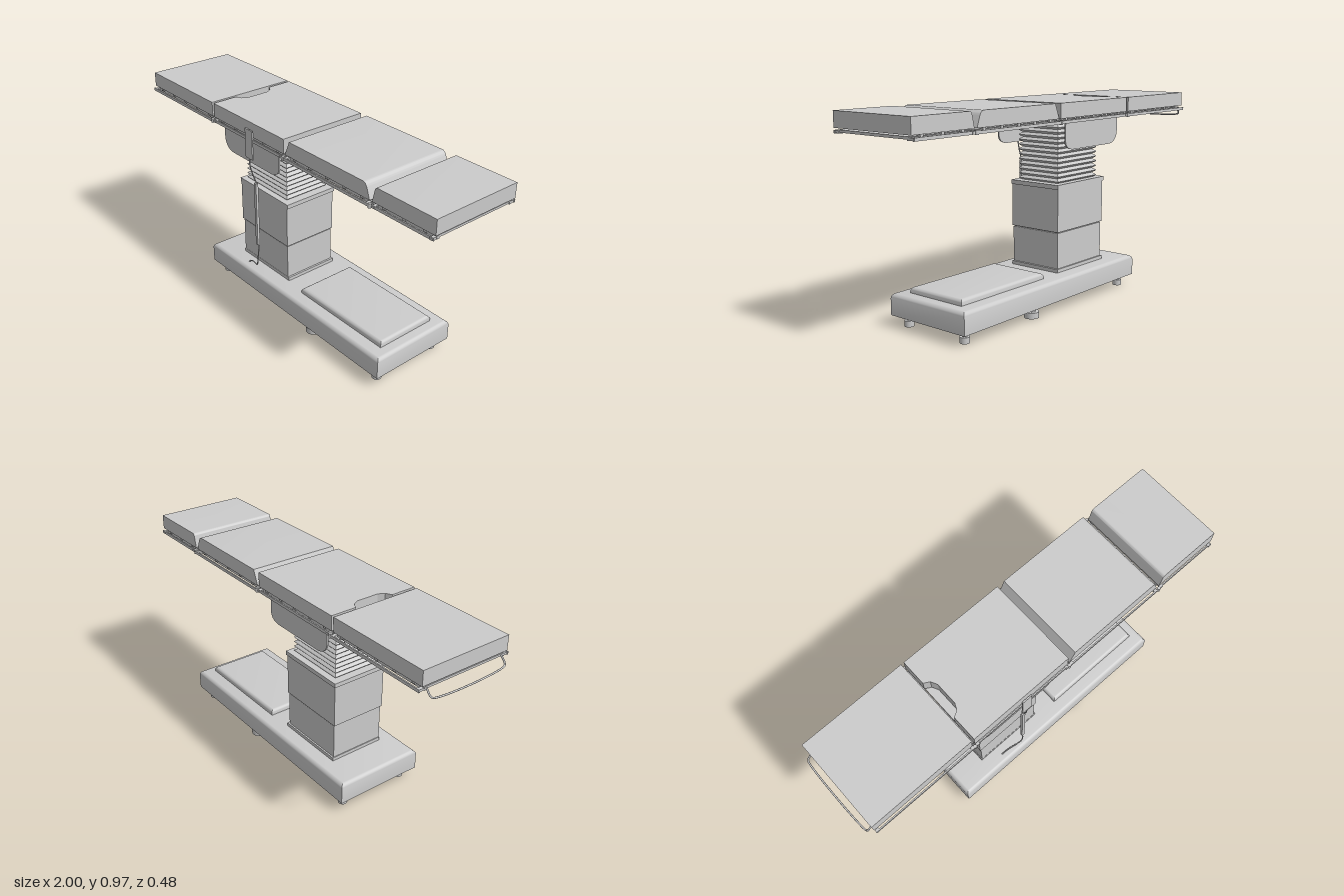
import * as THREE from 'three';
import { toCreasedNormals } from 'three/addons/utils/BufferGeometryUtils.js';

const grey = new THREE.MeshStandardMaterial({ color: 0xcccccc, side: THREE.DoubleSide });

export function createModel() {
  const model = new THREE.Group();

  const add = (name, geo, x = 0, y = 0, z = 0) => {
    const mesh = new THREE.Mesh(geo, grey);
    mesh.name = name;
    mesh.position.set(x, y, z);
    model.add(mesh);
    return mesh;
  };
  // Box given by its limits
  const box = (name, x0, x1, y0, y1, z0, z1) =>
    add(name, new THREE.BoxGeometry(x1 - x0, y1 - y0, z1 - z0), (x0 + x1) / 2, (y0 + y1) / 2, (z0 + z1) / 2);
  const rod = (name, r, length, x, y, z, axis = 'y', sides = 20) => {
    const geo = new THREE.CylinderGeometry(r, r, length, sides);
    if (axis === 'z') geo.rotateX(Math.PI / 2);
    return add(name, geo, x, y, z);
  };
  const tube = (name, points, r, steps = 40) => add(name, new THREE.TubeGeometry(
    new THREE.CatmullRomCurve3(points.map(p => new THREE.Vector3(...p)), false, 'centripetal'), steps, r, 8));

  // Closed stack of rectangles, each ring [y, halfX, halfZ]
  const loft = (rings) => {
    const pos = [], idx = [];
    rings.forEach(([y, a, b]) => pos.push(-a, y, b, a, y, b, a, y, -b, -a, y, -b));
    for (let i = 0; i < rings.length - 1; i++) {
      for (let j = 0; j < 4; j++) {
        const p = i * 4 + j, q = i * 4 + (j + 1) % 4;
        idx.push(p, q, q + 4, p, q + 4, p + 4);
      }
    }
    const t = (rings.length - 1) * 4;
    idx.push(0, 2, 1, 0, 3, 2, t, t + 1, t + 2, t, t + 2, t + 3);
    const geo = new THREE.BufferGeometry();
    geo.setAttribute('position', new THREE.Float32BufferAttribute(pos, 3));
    geo.setIndex(idx);
    return toCreasedNormals(geo, 0.5);
  };
  // Slab with sharp bottom and rounded top edges
  const roundTop = (name, x0, x1, y0, y1, halfZ, r) => {
    const h = (x1 - x0) / 2, rings = [[y0, h, halfZ]];
    for (let i = 0; i <= 6; i++) {
      const a = i / 6 * Math.PI / 2, inset = r * (1 - Math.cos(a));
      rings.push([y1 - r + r * Math.sin(a), h - inset, halfZ - inset]);
    }
    add(name, loft(rings), (x0 + x1) / 2);
  };
  const extrude = (shape, depth) =>
    new THREE.ExtrudeGeometry(shape, { depth, bevelEnabled: false, curveSegments: 10 });

  // Base and pedestal cover
  roundTop('base', -0.52, 0.73, 0.053, 0.155, 0.224, 0.024);
  roundTop('baseCover', 0.13, 0.675, 0.15, 0.183, 0.155, 0.018);

  // Feet
  for (const z of [-0.17, 0.17]) {
    for (const [x, r] of [[-0.46, 0.022], [0.235, 0.035], [0.673, 0.022]]) {
      rod('footPad', r, 0.028, x, 0.014, z);
      rod('footStem', r * 0.5, 0.03, x, 0.042, z);
    }
  }

  // Telescopic column
  box('columnSkirt', -0.352, 0.012, 0.15, 0.172, -0.145, 0.138);
  box('lowerColumn', -0.348, 0.002, 0.15, 0.345, -0.137, 0.137);
  box('columnGroove', -0.343, -0.003, 0.34, 0.355, -0.132, 0.132);
  box('upperColumn', -0.355, 0.006, 0.35, 0.575, -0.141, 0.141);
  box('columnRim', -0.36, 0.012, 0.557, 0.578, -0.145, 0.142);

  // Bellows
  const pleats = 13, bottom = 0.576, pitch = 0.0234, rings = [];
  for (let i = 0; i < pleats; i++) {
    for (const [t, d] of [[0, 0.016], [0.3, 0.004], [0.5, 0], [0.7, 0.004]]) {
      rings.push([bottom + (i + t) * pitch, 0.155 - d, 0.121 - d]);
    }
  }
  rings.push([bottom + pleats * pitch, 0.139, 0.105]);
  add('bellows', loft(rings), -0.175);

  // Side brackets and cross shaft
  const bracket = new THREE.Shape();
  bracket.moveTo(-0.38, 0.882);
  bracket.lineTo(-0.38, 0.81);
  bracket.quadraticCurveTo(-0.375, 0.755, -0.315, 0.75);
  bracket.lineTo(-0.02, 0.75);
  bracket.quadraticCurveTo(0.03, 0.755, 0.035, 0.79);
  bracket.lineTo(0.035, 0.882);
  for (const z of [-0.207, 0.199]) add('sideBracket', extrude(bracket, 0.008), 0, 0, z);
  rod('crossShaft', 0.023, 0.4, -0.17, 0.829, 0, 'z');

  // Cushions: side profiles extruded across the table
  const cushion = (name, draw) => {
    const s = new THREE.Shape();
    draw(s);
    add(name, toCreasedNormals(extrude(s, 0.454), 0.5), 0, 0, -0.227);
  };
  const y0 = 0.9, y1 = 0.97;
  cushion('headCushion', s => {
    s.moveTo(-0.972, y0); s.lineTo(-0.447, y0); s.lineTo(-0.447, y1); s.lineTo(-0.972, y1);
  });
  cushion('thighCushion', s => {
    s.moveTo(0.108, y0); s.lineTo(0.643, y0); s.lineTo(0.627, 0.945);
    s.quadraticCurveTo(0.617, y1, 0.603, y1); s.lineTo(0.137, y1);
  });
  cushion('footCushion', s => {
    s.moveTo(0.657, y0); s.lineTo(0.995, y0); s.lineTo(0.995, y1); s.lineTo(0.685, y1);
    s.quadraticCurveTo(0.672, y1, 0.67, 0.957);
  });
  // Seat cushion with a cut-out in its end
  const seat = new THREE.Shape([
    [-0.433, -0.227], [0.098, -0.227], [0.098, 0.227], [-0.433, 0.227],
    [-0.433, 0.1], [-0.405, 0.085], [-0.39, 0.055], [-0.39, -0.055], [-0.405, -0.085], [-0.433, -0.1],
  ].map(p => new THREE.Vector2(...p)));
  add('seatCushion', extrude(seat, y1 - y0).rotateX(-Math.PI / 2), 0, y0, 0);

  // Slatted frame, side rails, spacers and end knobs under each section
  const sections = [[-0.97, -0.44, 0.236], [-0.43, 0.1, 0.231], [0.108, 0.645, 0.236], [0.66, 0.99, 0.231]];
  for (const [a, b, zr] of sections) {
    const n = Math.round((b - a) / 0.105), w = (b - a) / n;
    for (let i = 0; i < n; i++) {
      box('slat', a + i * w + 0.002, a + (i + 1) * w - 0.002, 0.882, 0.892, -0.2, 0.2);
      for (const z of [-0.212, 0.212]) {
        box('spacer', a + (i + 0.5) * w - 0.008, a + (i + 0.5) * w + 0.008, 0.886, 0.902, z - 0.008, z + 0.008);
      }
    }
    box('underPlate', a, b, 0.89, 0.894, -0.205, 0.205);
    for (const s of [-1, 1]) {
      box('innerRail', a, b, 0.878, 0.892, s * 0.207 - 0.007, s * 0.207 + 0.007);
      box('sideRail', a, b, 0.877, 0.891, s * zr - 0.004, s * zr + 0.002);
      for (const x of [a + 0.01, b - 0.01]) {
        box('railBracket', x - 0.008, x + 0.008, 0.879, 0.889, s * 0.222 - 0.015, s * 0.222 + 0.015);
      }
    }
  }
  for (const x of [-0.437, 0.103, 0.652]) {
    rod('hingeRod', 0.006, 0.43, x, 0.886, 0, 'z', 12);
    for (const z of [-0.234, 0.234]) rod('hingeKnob', 0.008, 0.02, x, 0.884, z, 'y', 12);
  }

  // Pull handle at the head end
  tube('handle', [[-0.965, 0.888, -0.2], [-0.99, 0.86, -0.2], [-0.996, 0.852, -0.192], [-0.996, 0.852, 0.192],
    [-0.99, 0.86, 0.2], [-0.965, 0.888, 0.2]], 0.004, 60);

  // Hand control with its cable and cable sleeve
  box('handControl', -0.172, -0.12, 0.79, 0.935, 0.231, 0.238);
  tube('upperCable', [[-0.146, 0.8, 0.235], [-0.146, 0.755, 0.234], [-0.143, 0.71, 0.224], [-0.14, 0.65, 0.203]], 0.003);
  box('cableSleeve', -0.149, -0.133, 0.32, 0.655, 0.201, 0.214);
  tube('lowerCable', [[-0.14, 0.325, 0.2], [-0.139, 0.27, 0.208], [-0.148, 0.215, 0.207], [-0.17, 0.185, 0.198],
    [-0.22, 0.178, 0.188], [-0.258, 0.152, 0.182]], 0.003);

  return model;
}
